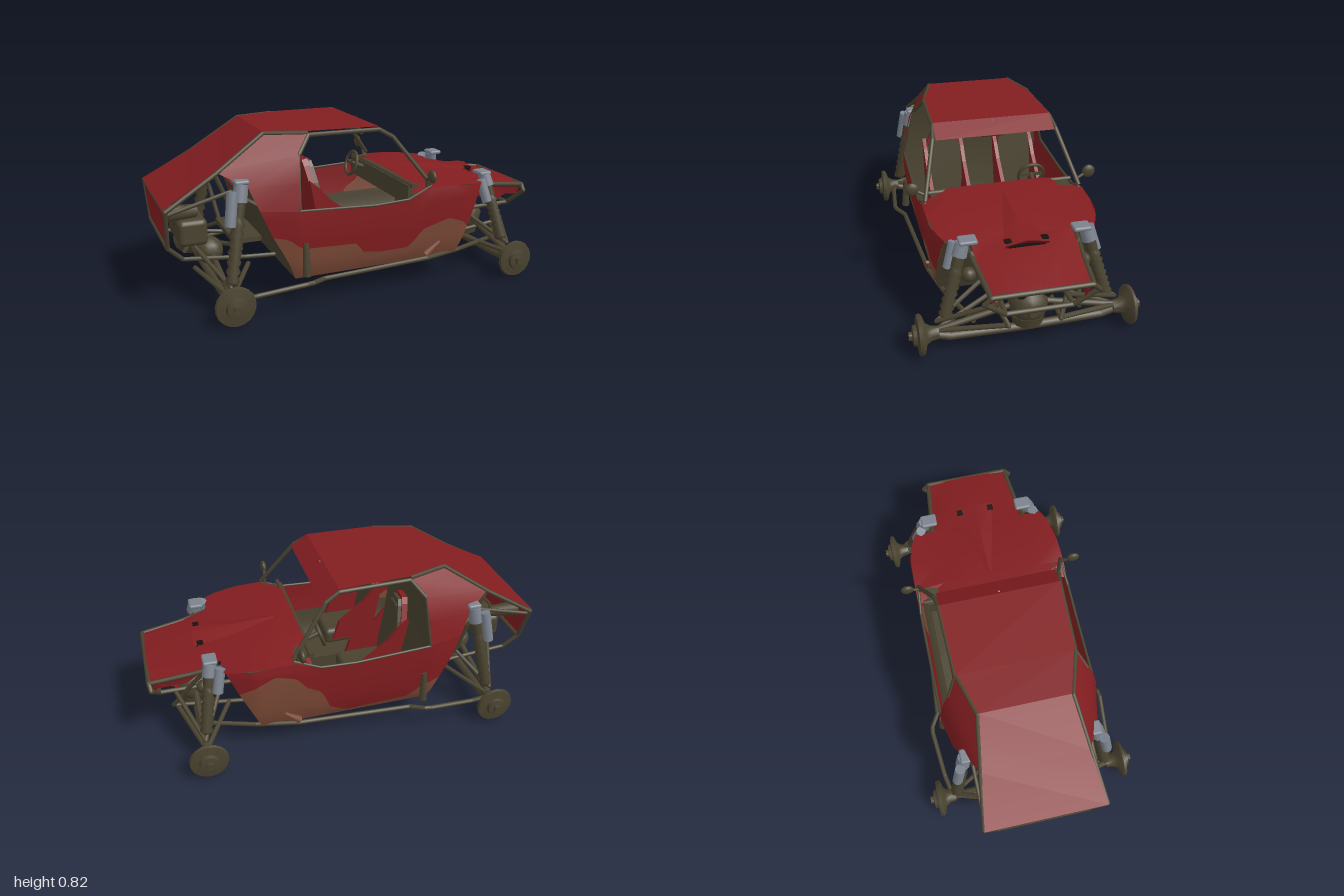
import * as THREE from 'three';
import { mergeGeometries, toCreasedNormals } from 'three/addons/utils/BufferGeometryUtils.js';
import { RoundedBoxGeometry } from 'three/addons/geometries/RoundedBoxGeometry.js';

const V = (p) => new THREE.Vector3(...p);
const lerp = THREE.MathUtils.lerp;
// piecewise linear lookup in [[t, value], ...]
const look = (tab, t) => {
  if (t <= tab[0][0]) return tab[0][1];
  for (let i = 1; i < tab.length; i++) {
    const [a, va] = tab[i - 1], [b, vb] = tab[i];
    if (t <= b) return lerp(va, vb, (t - a) / (b - a));
  }
  return tab[tab.length - 1][1];
};

export function createModel() {
  const model = new THREE.Group();
  const mat = (name, color) => {
    const m = new THREE.MeshStandardMaterial({ color, side: THREE.DoubleSide });
    m.name = name;
    return m;
  };
  const red = mat('red paint', 0x821d20);
  const mud = mat('mud brown', 0x7b4936);
  const dark = mat('olive metal', 0x49422f);
  const grey = mat('grey metal', 0x7b828d);
  const black = mat('black', 0x17120f);

  const add = (name, geo, material, pos) => {
    const m = new THREE.Mesh(geo, material);
    m.name = name;
    if (pos) m.position.set(...pos);
    model.add(m);
    return m;
  };
  // sheet spanned between rows of points
  const sheet = (rows, crease = 0.5) => {
    const n = rows[0].length, idx = [];
    for (let r = 0; r < rows.length - 1; r++) for (let c = 0; c < n - 1; c++) {
      const a = r * n + c, b = a + 1, d = a + n, e = d + 1;
      idx.push(a, b, e, a, e, d);
    }
    const g = new THREE.BufferGeometry();
    g.setAttribute('position', new THREE.Float32BufferAttribute(rows.flat(2), 3));
    g.setIndex(idx);
    return toCreasedNormals(g, crease);
  };
  const flip = (p) => [p[0], p[1], -p[2]];
  // sheet symmetrical over z = 0, given half rows that run from the middle outwards
  const across = (rows) => sheet(rows.map((r) => [...[...r].reverse().map(flip), ...r.filter((p) => p[2] > 0)]));
  // geometry built along y from 0 to its length, laid from p to q
  const lay = (g, p, q) => {
    const dir = V(q).sub(V(p)).normalize();
    g.applyQuaternion(new THREE.Quaternion().setFromUnitVectors(new THREE.Vector3(0, 1, 0), dir));
    return g.translate(...p);
  };
  const rod = (p, q, r0, r1 = r0, seg = 8) => {
    const l = V(p).distanceTo(V(q));
    return lay(new THREE.CylinderGeometry(r1, r0, l, seg).translate(0, l / 2, 0), p, q);
  };
  const pipe = (name, pts, r = 0.012, material = dark) => {
    const parts = [];
    pts.forEach((p, i) => {
      if (i) parts.push(rod(pts[i - 1], p, r));
      if (i && i < pts.length - 1) parts.push(new THREE.SphereGeometry(r, 8, 6).translate(...p));
    });
    return add(name, mergeGeometries(parts), material);
  };
  const pipes = (name, pts, r, material) => {
    pipe(name + 'Left', pts, r, material);
    pipe(name + 'Right', pts.map(flip), r, material);
  };

  // ---- body tub: sides with a mud line, low inner liners, floor and firewalls
  const bottom = 0.122;
  const rearX = [[bottom, -0.4], [0.22, -0.44], [0.35, -0.51], [0.48, -0.565]];
  const frontX = [[bottom, 0.47], [0.22, 0.51], [0.35, 0.57], [0.49, 0.63]];
  const wide = [[bottom, 0.355], [0.16, 0.373], [0.22, 0.388], [0.35, 0.402], [0.46, 0.405], [0.52, 0.395]];
  const sill = [[0, 0.48], [0.16, 0.47], [0.48, 0.452], [0.64, 0.462], [0.73, 0.505], [0.8, 0.505], [1, 0.485]];
  const sidePoint = (u, y) => {
    const x = lerp(look(rearX, y), look(frontX, y), u);
    const z = look(wide, y) - Math.max(0, -0.4 - x) * 0.25 - Math.max(0, x - 0.5) * 0.4;
    return [x, y, z];
  };
  const mudLines = {
    1: [[0, 0.35], [0.06, 0.335], [0.09, 0.29], [0.13, 0.28], [0.37, 0.27], [0.4, 0.222], [0.5, 0.205], [0.66, 0.207], [0.7, 0.25], [0.73, 0.295], [0.78, 0.31], [0.86, 0.335], [0.95, 0.305], [1, 0.27]],
    [-1]: [[0, 0.25], [0.08, 0.23], [0.14, 0.16], [0.5, 0.14], [0.6, 0.19], [0.64, 0.31], [0.7, 0.35], [0.74, 0.42], [0.82, 0.45], [0.9, 0.41], [1, 0.36]],
  };
  const N = 60;
  const cols = Array.from({ length: N + 1 }, (_, i) => i / N);
  for (const s of [1, -1]) {
    const band = (lo, hi, inset = 0) => sheet(Array.from({ length: 6 }, (_, r) => cols.map((u) => {
      const [x, y, z] = sidePoint(lerp(u, 0.5, inset * 2), lerp(lo(u), hi(u), r / 5));
      return [x, y, s * (z - inset)];
    })), 0.9);
    const line = (u) => look(mudLines[s], u);
    add('bodySideMuddy', band(() => bottom, line), mud);
    add('bodySide', band(line, (u) => look(sill, u)), red);
    add('doorLiner', band(() => bottom + 0.01, () => 0.29, 0.012), dark);
  }
  const ends = [0, 0.03, 0.09, 0.2, 0.35].map((d) => bottom + d);
  const span = (p) => [flip(p), p];
  add('rearFirewall', sheet(ends.map((y) => span(sidePoint(0, y)))), dark);
  add('frontFirewall', sheet(ends.map((y) => span(sidePoint(1, y)))), dark);
  add('floorPan', sheet([0, 0.5, 1].map((u) => span(sidePoint(u, bottom)))), dark);

  // ---- upper shell
  const quarter = [
    [[-0.565, 0.48, 0.363], [-0.385, 0.47, 0.403]],
    [[-0.61, 0.59, 0.335], [-0.378, 0.6, 0.382]],
    [[-0.74, 0.66, 0.26], [-0.365, 0.72, 0.345]],
    [[-0.5, 0.82, 0.22], [-0.3, 0.815, 0.287]],
  ];
  add('quarterPanelLeft', sheet(quarter), red);
  add('quarterPanelRight', sheet(quarter.map((r) => r.map(flip))), red);
  add('rearDeck', sheet([[-0.5, 0.82, 0.22], [-0.74, 0.66, 0.26], [-0.99, 0.52, 0.3]].map(span)), red);
  add('roof', sheet([[-0.5, 0.82, 0.22], [-0.3, 0.818, 0.285], [0.06, 0.815, 0.298], [0.15, 0.76, 0.3]].map(span)), red);
  add('cabinBulkhead', sheet([[-0.4, 0.14, 0.34], [-0.46, 0.46, 0.385], [-0.42, 0.72, 0.325], [-0.38, 0.81, 0.25]].map(span)), dark);
  // tail panel folded slightly inwards
  add('tailPanel', across([
    [[-0.985, 0.51, 0], [-0.985, 0.51, 0.29]],
    [[-0.955, 0.42, 0], [-0.98, 0.42, 0.27]],
    [[-0.972, 0.33, 0], [-0.972, 0.33, 0.23]],
  ]), red);

  // ---- bonnet, nose and scoop
  const bonnet = (x, mid, shoulder, edge, w) => [[x, mid, 0], [x, lerp(mid, shoulder, 0.4), 0.12], [x, shoulder, 0.25], [x, edge, w]];
  add('bonnet', across([
    bonnet(0.22, 0.535, 0.532, 0.47, 0.402), bonnet(0.3, 0.53, 0.528, 0.506, 0.402),
    bonnet(0.44, 0.515, 0.508, 0.502, 0.4), bonnet(0.57, 0.495, 0.492, 0.492, 0.378), bonnet(0.635, 0.48, 0.48, 0.485, 0.35),
  ]), red);
  add('nose', across([
    [[0.635, 0.48, 0], [0.635, 0.48, 0.15], [0.635, 0.48, 0.24]],
    [[0.78, 0.465, 0], [0.78, 0.46, 0.14], [0.78, 0.435, 0.235]],
    [[0.985, 0.415, 0], [0.985, 0.413, 0.12], [0.985, 0.405, 0.22]],
  ]), red);
  const noseSide = [[[0.7, 0.45, 0.237], [0.985, 0.405, 0.22]], [[0.8, 0.37, 0.22], [0.97, 0.34, 0.19]]];
  add('noseSideLeft', sheet(noseSide), red);
  add('noseSideRight', sheet(noseSide.map((r) => r.map(flip))), red);
  add('noseFront', sheet([[0.975, 0.405, 0.22], [0.88, 0.35, 0.2], [0.84, 0.295, 0.15]].map(span)), red);
  add('scoop', across([
    [[0.32, 0.531, 0], [0.32, 0.527, 0.015]],
    [[0.55, 0.52, 0], [0.55, 0.501, 0.065]],
    [[0.74, 0.507, 0], [0.74, 0.49, 0.1]],
    [[0.72, 0.475, 0], [0.72, 0.465, 0.1]],
  ]), red);
  add('scoopMouth', new THREE.BoxGeometry(0.006, 0.016, 0.17), black, [0.727, 0.479, 0]);
  for (const s of [1, -1]) {
    add('bonnetPin', new THREE.BoxGeometry(0.03, 0.008, 0.03), black, [0.71, 0.497, s * 0.085]);
    add('noseHole', new THREE.CylinderGeometry(0.025, 0.025, 0.008, 12).rotateZ(Math.PI / 2), black, [0.865, 0.318, s * 0.06]);
  }

  // ---- roll cage and outer frame
  pipes('windowFrame', [[0.31, 0.52, 0.385], [0.13, 0.76, 0.312], [0.06, 0.8, 0.3], [-0.3, 0.8, 0.288], [-0.365, 0.72, 0.335]], 0.011);
  pipes('windowSeal', [[-0.365, 0.72, 0.338], [-0.385, 0.47, 0.398], [0, 0.452, 0.4], [0.18, 0.46, 0.4], [0.31, 0.51, 0.385]], 0.007);
  pipes('deckRail', [[-0.3, 0.81, 0.284], [-0.5, 0.812, 0.224], [-0.74, 0.65, 0.264], [-0.98, 0.51, 0.3], [-0.97, 0.32, 0.24], [-0.9, 0.25, 0.22], [-0.6, 0.21, 0.2], [-0.45, 0.2, 0.2]], 0.011);
  pipes('deckBrace', [[-0.98, 0.49, 0.29], [-0.68, 0.57, 0.29], [-0.56, 0.5, 0.34]], 0.01);
  pipes('tailStrut', [[-0.74, 0.648, 0.25], [-0.66, 0.45, 0.24], [-0.62, 0.25, 0.2]], 0.011);
  for (const [n, x, y, z] of [['tailBarTop', -0.98, 0.51, 0.3], ['tailBarLow', -0.97, 0.32, 0.24], ['noseBarTop', 0.98, 0.405, 0.22], ['noseBarLow', 0.94, 0.285, 0.15], ['cowlBar', 0.22, 0.515, 0.37]])
    pipe(n, [[x, y, z], [x, y, -z]], 0.012);
  pipes('noseRail', [[0.62, 0.46, 0.26], [0.78, 0.43, 0.24], [0.98, 0.403, 0.222], [0.975, 0.375, 0.25], [0.94, 0.285, 0.15], [0.57, 0.28, 0.15]], 0.012);
  pipes('noseStrut', [[0.7, 0.46, 0.25], [0.8, 0.3, 0.18], [0.88, 0.17, 0.12], [0.5, 0.14, 0.15]], 0.011);
  pipes('sideRail', [[-0.72, 0.1, 0.43], [-0.62, 0.11, 0.45], [-0.38, 0.135, 0.47], [-0.35, 0.135, 0.465], [-0.28, 0.13, 0.425], [0.3, 0.13, 0.385], [0.5, 0.13, 0.34], [0.76, 0.13, 0.25]], 0.012);
  for (const s of [1, -1]) {
    add('sideStep', rod([-0.36, 0.15, s * 0.41], [-0.36, 0.31, s * 0.4], 0.021, 0.015), dark);
    add('sideSpike', rod([0.29, 0.15, s * 0.385], [0.365, 0.215, s * 0.395], 0.02, 0.008), mud);
  }

  // ---- suspension and hubs
  const hubProfile = [[0, 0], [0.03, 0], [0.035, 0.035], [0.05, 0.058], [0.088, 0.07], [0.096, 0.08], [0.092, 0.094], [0.05, 0.1], [0.046, 0.116], [0.02, 0.12], [0.02, 0.135], [0, 0.135]].map((p) => new THREE.Vector2(...p));
  const shock = (p, q, s, name) => {
    if (s < 0) { p = flip(p); q = flip(q); }
    const l = V(p).distanceTo(V(q)), pts = [new THREE.Vector2(0, 0)];
    for (let i = 0; i <= 14; i++) pts.push(new THREE.Vector2(i % 2 ? 0.034 : 0.024, (l * 0.66 * i) / 14));
    pts.push(new THREE.Vector2(0.028, l * 0.7), new THREE.Vector2(0.028, l));
    add(name + 'Spring', lay(new THREE.LatheGeometry(pts, 10), p, q), dark);
    const at = (t, dx, dz) => V(p).lerp(V(q), t).add(new THREE.Vector3(dx, 0, s * dz)).toArray();
    add(name + 'Reservoir', rod(at(0.62, -0.04, 0.025), at(0.97, -0.045, 0.025), 0.026, 0.026, 10), grey);
    add(name + 'Collar', rod(at(0.84, 0, 0), at(1.02, 0, 0), 0.036, 0.032, 10), grey);
    add(name + 'Bracket', new RoundedBoxGeometry(0.07, 0.022, 0.085, 2, 0.01), grey, at(1.04, 0, -0.02));
  };
  for (const s of [1, -1]) {
    for (const x of [0.76, -0.73])
      add('wheelHub', toCreasedNormals(new THREE.LatheGeometry(hubProfile, 18), 0.8).rotateX(s * Math.PI / 2), dark, [x, 0.097, s * 0.412]);
    shock([0.75, 0.17, 0.38], [0.69, 0.5, 0.285], s, 'frontShock');
    shock([-0.72, 0.16, 0.4], [-0.64, 0.6, 0.325], s, 'rearShock');
    add('headlamp', new THREE.SphereGeometry(0.034, 12, 8), dark, [0.73, 0.365, s * 0.265]);
    add('exhaust', rod([-0.96, 0.475, s * 0.2], [-0.82, 0.46, s * 0.17], 0.042, 0.028, 12), dark);
  }
  for (const [x, r] of [[0.76, 0.092], [-0.73, 0.07]]) {
    const d = Math.sign(x);
    pipe('axleBeam', [[x, 0.1, 0.46], [x, 0.07, 0.36], [x, 0.062, 0], [x, 0.07, -0.36], [x, 0.1, -0.46]], 0.021);
    pipes('lowerArm', [[x - d * 0.16, 0.15, 0.14], [x, 0.11, 0.43], [x + d * 0.1, 0.16, 0.12]], 0.012);
    pipes('upperArm', [[x - d * 0.12, 0.28, 0.17], [x, 0.16, 0.42], [x + d * 0.1, 0.28, 0.16]], 0.011);
    pipes('driveShaft', [[x, 0.19, 0.08], [x, 0.11, 0.43]], 0.015);
    add('differential', new THREE.SphereGeometry(r, 14, 10), dark, [x, 0.195, 0]);
  }
  add('differentialNose', rod([0.76, 0.195, 0], [0.86, 0.195, 0], 0.06, 0.02), dark);
  add('differentialSump', new THREE.CylinderGeometry(0.08, 0.07, 0.05, 12), dark, [0.76, 0.12, 0]);
  add('muffler', new RoundedBoxGeometry(0.14, 0.13, 0.3, 2, 0.025), dark, [-0.83, 0.34, 0]);
  add('engineMount', new THREE.BoxGeometry(0.14, 0.025, 0.36), dark, [-0.58, 0.285, 0]);

  // ---- cabin: seats, dash, wheel and mirrors
  const seatHalf = [[0.075, 0], [0.1, 0.1], [0.105, 0.24], [0.088, 0.3], [0.055, 0.38], [0.035, 0.41]];
  const backShape = (k) => new THREE.Shape([...seatHalf, ...[...seatHalf].reverse().map(([x, y]) => [-x, y])].map(([x, y]) => new THREE.Vector2(x * k, 0.21 + (y - 0.21) * k)));
  const slab = (k, d) => new THREE.ExtrudeGeometry(backShape(k), { depth: d, bevelEnabled: false }).rotateY(Math.PI / 2);
  // side bolsters sweep down from the seat back
  const wing = new THREE.Shape([[-0.3, 0.58], [-0.25, 0.54], [-0.19, 0.47], [-0.06, 0.37], [-0.02, 0.26], [-0.24, 0.26]].map((p) => new THREE.Vector2(...p)));
  for (const s of [1, -1]) {
    const z = s * 0.195;
    add('seatShell', slab(1, 0.03), red, [-0.245, 0.265, z]).rotation.z = 0.17;
    add('seatPad', slab(0.94, 0.02), dark, [-0.217, 0.268, z]).rotation.z = 0.17;
    add('headrest', new RoundedBoxGeometry(0.03, 0.06, 0.08, 2, 0.012), dark, [-0.265, 0.61, z]);
    add('seatCushion', new RoundedBoxGeometry(0.24, 0.09, 0.2, 2, 0.025), dark, [-0.1, 0.27, z]);
    for (const w of [1, -1])
      add('seatBolster', new THREE.ExtrudeGeometry(wing, { depth: 0.02, bevelEnabled: false }), red, [0, 0, z + w * 0.1 - 0.01]);
    add('mirror', new THREE.SphereGeometry(0.034, 12, 8).scale(0.5, 1, 1), dark, [0.28, 0.575, s * 0.442]);
    pipe('mirrorArm', [[0.28, 0.57, s * 0.43], [0.285, 0.545, s * 0.385], [0.29, 0.51, s * 0.38]], 0.008);
  }
  add('dashboard', new THREE.BoxGeometry(0.1, 0.1, 0.7), dark, [0.25, 0.465, 0]);
  add('tunnel', new THREE.BoxGeometry(0.6, 0.12, 0.1), dark, [-0.05, 0.2, 0]);
  add('steeringWheel', new THREE.TorusGeometry(0.065, 0.009, 8, 20).rotateY(Math.PI / 2), dark, [0.13, 0.515, -0.19]).rotation.z = -0.3;
  add('steeringColumn', rod([0.25, 0.47, -0.19], [0.13, 0.515, -0.19], 0.012), dark);
  add('steeringSpoke', new THREE.BoxGeometry(0.008, 0.015, 0.12), dark, [0.13, 0.515, -0.19]);
  add('rearMirror', new RoundedBoxGeometry(0.02, 0.03, 0.12, 2, 0.008), dark, [0.08, 0.74, 0]);
  pipe('rearMirrorStem', [[0.08, 0.74, 0], [0.07, 0.81, 0]], 0.006, grey);
  return model;
}
